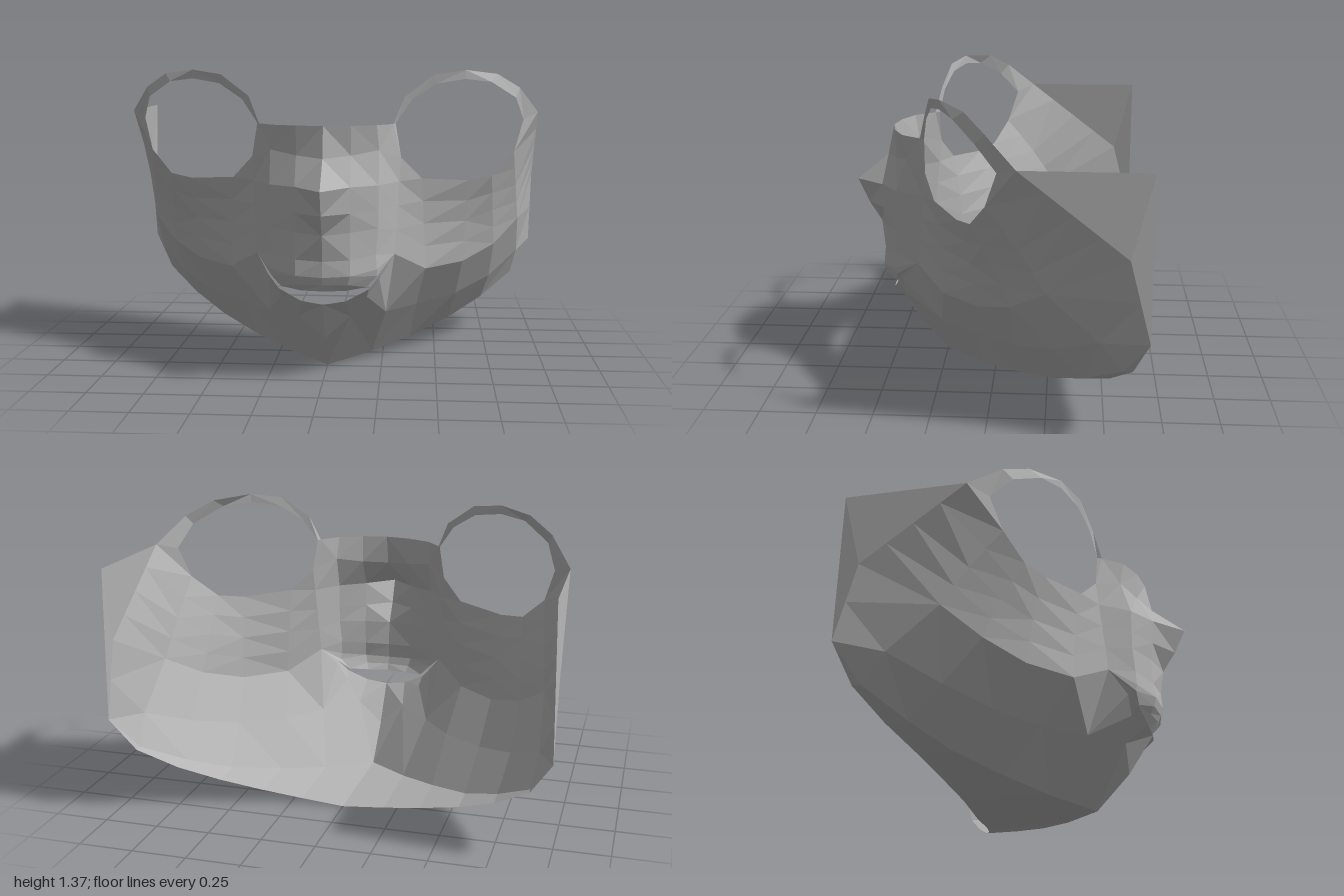
import * as THREE from 'three';

const grey = new THREE.MeshStandardMaterial({ color: 0xb4b4b4, flatShading: true, side: THREE.DoubleSide });
grey.name = 'mask grey';

const dist = (a, b) => Math.hypot(a[0] - b[0], a[1] - b[1], a[2] - b[2]);
const mix = (a, b, t) => a.map((v, k) => v + (b[k] - v) * t);

// Skins rows of cross-section points on the +x side, then mirrors them to -x.
// Each quad is split along its shorter diagonal.
function skin(name, rows) {
  const pos = [];
  const tri = (a, b, c) => {
    if (a === b || b === c || a === c) return;
    pos.push(...a, ...b, ...c);
    for (const p of [a, c, b]) pos.push(-p[0], p[1], p[2]);
  };
  for (let i = 0; i < rows.length - 1; i++) {
    for (let j = 0; j < rows[i].length - 1; j++) {
      const a = rows[i][j], b = rows[i + 1][j], c = rows[i + 1][j + 1], d = rows[i][j + 1];
      if (dist(a, c) < dist(b, d)) {
        tri(a, b, c);
        tri(a, c, d);
      } else {
        tri(a, b, d);
        tri(b, c, d);
      }
    }
  }
  const geo = new THREE.BufferGeometry();
  geo.setAttribute('position', new THREE.Float32BufferAttribute(pos, 3));
  geo.computeVertexNormals();
  const mesh = new THREE.Mesh(geo, grey);
  mesh.name = name;
  return mesh;
}

export function createModel() {
  const group = new THREE.Group();
  group.name = 'halfMask';

  // Eye ring, from the nose outwards
  const ringOuter = [[0.3, 1.13, 0.33], [0.35, 1.25, 0.3], [0.48, 1.345, 0.265], [0.62, 1.365, 0.205],
    [0.77, 1.345, 0.09], [0.88, 1.28, 0], [0.98, 1.16, -0.13]];
  const ringInner = [[0.31, 1.13, 0.31], [0.38, 1.235, 0.29], [0.49, 1.305, 0.255], [0.62, 1.325, 0.205],
    [0.74, 1.31, 0.14], [0.86, 1.235, 0.04], [0.905, 1.13, -0.05]];
  group.add(skin('eyeRing', [ringOuter, ringInner]));
  const templeTop = ringOuter[6];

  // Cheek, slightly hollow from the lower eye edge to the crease, then down to the jaw
  const eye = [[0.335, 0.98, 0.305], [0.43, 0.88, 0.255], [0.645, 0.86, 0.135], [0.755, 0.875, 0.07],
    [0.86, 0.98, 0], templeTop];
  const crease = [[0.31, 0.55, 0.35], [0.45, 0.46, 0.22], [0.625, 0.465, 0.05], [0.78, 0.525, -0.1],
    [0.905, 0.63, -0.25], [1, 0.81, -0.58]];
  const low = [[0.27, 0.26, 0.245], [0.41, 0.26, 0.07], [0.6, 0.28, -0.1], [0.77, 0.335, -0.27],
    [0.92, 0.43, -0.47], [1, 0.635, -0.625]];
  const jaw = [[0.2, 0.022, 0.06], [0.38, 0.06, -0.1], [0.57, 0.115, -0.275], [0.74, 0.195, -0.42],
    [0.9, 0.3, -0.57], [1, 0.46, -0.67]];
  const mids = [0.25, 0.5, 0.75].map(t => eye.map((p, j) => {
    const q = mix(p, crease[j], t);
    if (j > 0 && j < 5) q[2] -= 0.012 * Math.sin(Math.PI * t);
    return q;
  }));
  group.add(skin('cheek', [eye, ...mids, crease, low, jaw]));

  // Corners joining the eye ring to the cheek and nose
  group.add(skin('outerEyeCorner', [[ringInner[6], templeTop], [eye[4], templeTop]]));
  group.add(skin('innerEyeCorner', [[ringOuter[0], ringInner[0]], [eye[0], eye[0]]]));

  // Flat side panel at the back
  const backTop = [0.985, 1.16, -0.67];
  group.add(skin('sidePanel', [[templeTop, backTop], [crease[5], jaw[5]]]));

  // Nose and upper lip, from the bridge down
  const corner = crease[0];
  group.add(skin('noseAndUpperLip', [
    [[0, 1.13, 0.49], [0.12, 1.13, 0.47], [0.23, 1.13, 0.42], ringOuter[0]],
    [[0, 0.99, 0.52], [0.12, 1, 0.465], [0.24, 1.02, 0.405], eye[0]],
    [[0, 0.865, 0.67], [0.12, 0.87, 0.535], [0.24, 0.87, 0.45], mids[0][0]],
    [[0, 0.755, 0.62], [0.12, 0.755, 0.53], [0.24, 0.76, 0.45], mids[1][0]],
    [[0, 0.66, 0.56], [0.12, 0.67, 0.52], [0.24, 0.68, 0.45], mids[2][0]],
    [[0, 0.545, 0.545], [0.12, 0.55, 0.525], [0.23, 0.565, 0.46], corner],
    [[0, 0.475, 0.55], [0.12, 0.48, 0.535], [0.235, 0.5, 0.465], corner],
    [[0, 0.44, 0.54], [0.11, 0.44, 0.525], [0.235, 0.47, 0.46], corner],
    [[0, 0.41, 0.525], [0.1, 0.41, 0.505], [0.19, 0.42, 0.465], corner],
  ]));

  // Lower lip, folding in towards the mouth corner
  const lipEdge = [[0, 0.345, 0.5], [0.1, 0.36, 0.49], [0.2, 0.41, 0.465], [0.25, 0.47, 0.44], corner];
  const lipBase = [[0, 0.165, 0.385], [0.115, 0.27, 0.39], [0.19, 0.37, 0.43], [0.245, 0.45, 0.425], corner];
  group.add(skin('lowerLip', [lipEdge, lipBase]));

  // Chin, fanning from the lip to the jaw
  const chinBase = [0, 0, 0.235];
  group.add(skin('chin', [lipBase, [chinBase, jaw[0], low[0], low[0], low[0]]]));

  // Underside, swept from the jaw line to the curved rear edge
  const rearZ = [-0.32, -0.33, -0.37, -0.43, -0.52, -0.61, -0.67];
  const jawLine = [chinBase, ...jaw];
  group.add(skin('underside', [jawLine, jawLine.map((p, j) => [p[0], p[1], rearZ[j]])]));

  return group;
}
